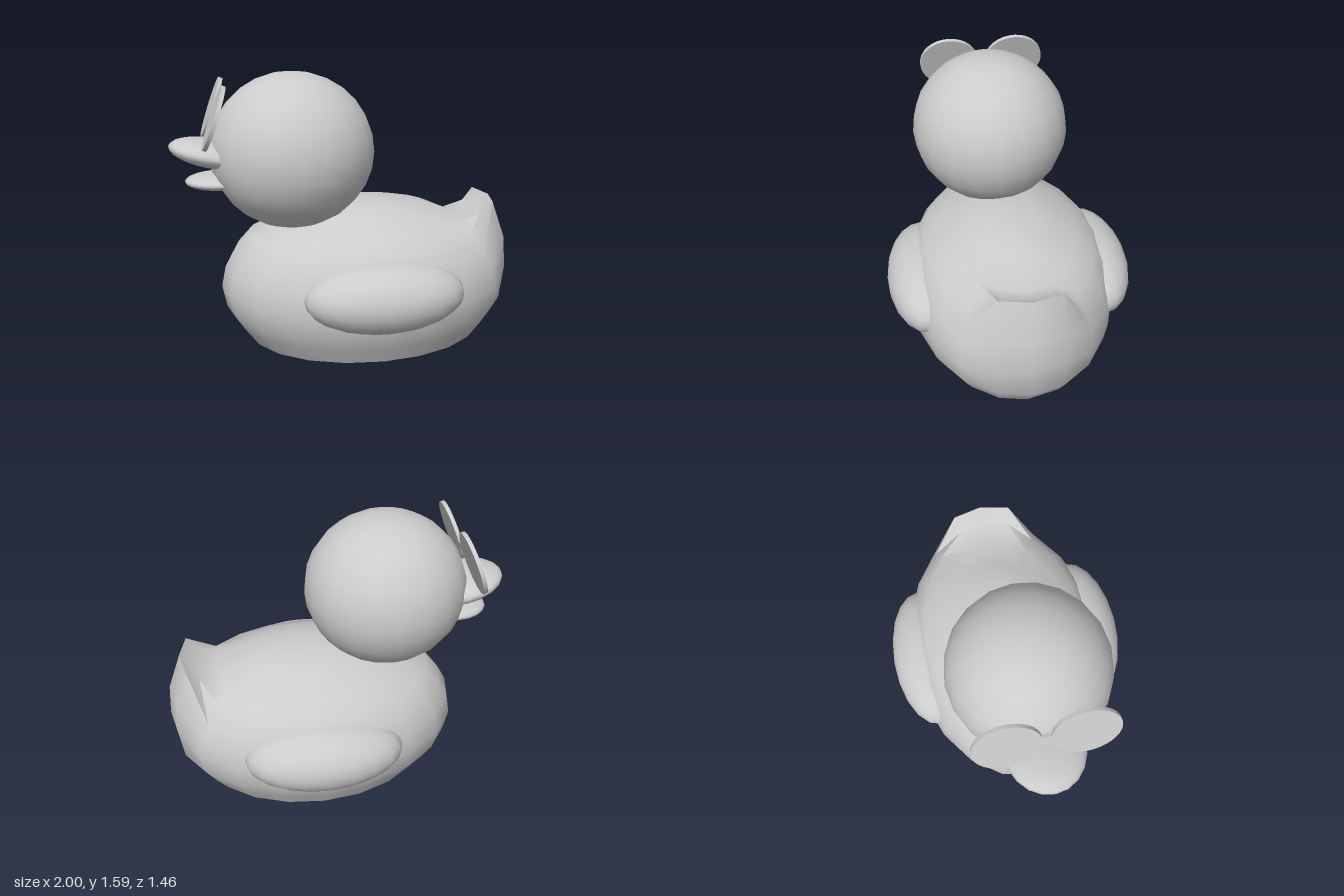
import * as THREE from 'three';
import { mergeVertices, toCreasedNormals } from 'three/addons/utils/BufferGeometryUtils.js';

const material = new THREE.MeshStandardMaterial({ color: 0xcccccc });

function addMesh(parent, name, geometry, x = 0, y = 0, z = 0) {
  const mesh = new THREE.Mesh(geometry, material);
  mesh.name = name;
  mesh.position.set(x, y, z);
  parent.add(mesh);
  return mesh;
}

// Ellipsoid with the radii baked in so its normals stay correct
function ellipsoid(rx, ry, rz, rows = 14) {
  return new THREE.SphereGeometry(1, 20, rows).scale(rx, ry, rz);
}

// Oval hull with a flat base; the rings at the +x end are pulled up into the tail
function bodyGeometry() {
  const profile = [
    [0, 0], [0.705, 0], [0.78, 0.1], [0.845, 0.2], [0.87, 0.33], [0.845, 0.45],
    [0.79, 0.55], [0.70, 0.65], [0.57, 0.70], [0.38, 0.785], [0.22, 0.82], [0, 0.84],
  ].map(([r, y]) => new THREE.Vector2(r, y));
  // original ring height -> [raised height, x shift]
  const tailRings = [[0.33, 0.4, 0], [0.45, 0.59, 0.01], [0.55, 0.81, -0.015], [0.65, 0.735, 0]];

  let geometry = new THREE.LatheGeometry(profile, 20);
  geometry.scale(1, 1, 0.71);
  const p = geometry.attributes.position;
  for (let i = 0; i < p.count; i++) {
    if (p.getX(i) < 0.5 || Math.abs(p.getZ(i)) > 0.2) continue;
    const ring = tailRings.find(([y]) => Math.abs(p.getY(i) - y) < 0.001);
    if (!ring) continue;
    p.setY(i, ring[1]);
    p.setX(i, p.getX(i) + ring[2]);
  }
  geometry.deleteAttribute('normal');
  geometry.deleteAttribute('uv');
  geometry = mergeVertices(geometry, 1e-4);
  return toCreasedNormals(geometry, 0.8);
}

export function createModel() {
  const model = new THREE.Group();
  model.name = 'duck';

  addMesh(model, 'body', bodyGeometry(), 0.13, 0, 0);
  addMesh(model, 'head', ellipsoid(0.47, 0.445, 0.46), -0.31, 1.145, 0.04);

  // Wings
  for (const side of [1, -1]) {
    addMesh(model, side > 0 ? 'rightWing' : 'leftWing',
      ellipsoid(0.455, 0.205, 0.23), 0.13, 0.4, side * 0.5);
  }

  // Open beak
  const upper = addMesh(model, 'upperBeak', ellipsoid(0.26, 0.078, 0.22), -0.745, 1.14, 0.03);
  upper.rotation.z = -0.2;
  addMesh(model, 'lowerBeak', ellipsoid(0.2, 0.047, 0.17), -0.72, 0.985, 0.03);

  // Glasses: two discs and a bridge, leaning back against the head
  const glasses = new THREE.Group();
  glasses.name = 'glasses';
  glasses.position.set(-0.75, 1.37, 0.032);
  glasses.rotation.z = 1.23;
  for (const side of [1, -1]) {
    addMesh(glasses, 'lens', new THREE.CylinderGeometry(0.18, 0.18, 0.022, 32), 0, 0, side * 0.203);
  }
  addMesh(glasses, 'bridge', new THREE.BoxGeometry(0.06, 0.02, 0.1));
  model.add(glasses);

  return model;
}
